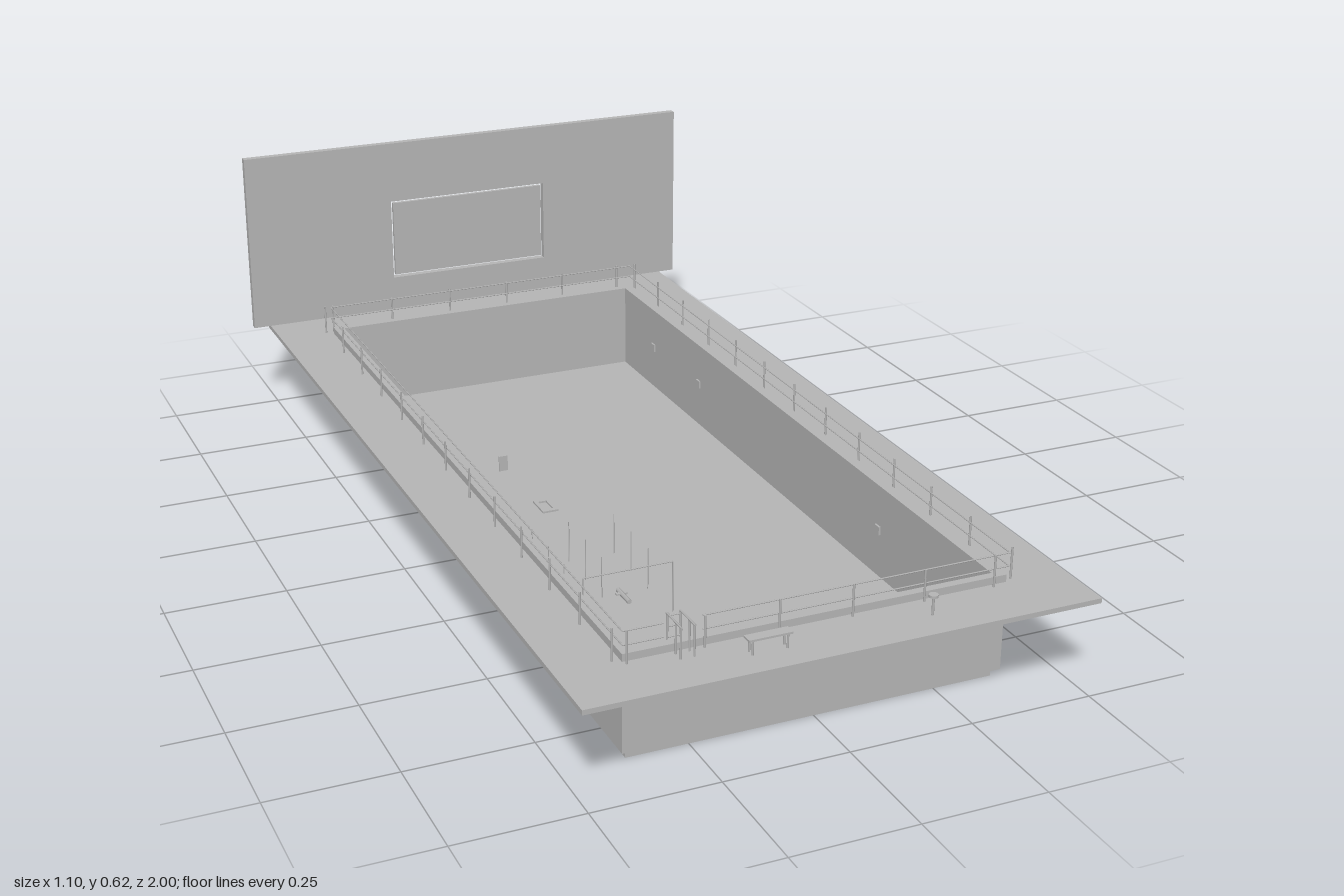
import * as THREE from 'three';

export function createModel() {
  const root = new THREE.Group();
  const grey = new THREE.MeshStandardMaterial({ color: 0xb4b4b4 });
  grey.name = 'concrete grey';

  const add = (parent, name, geo, x = 0, y = 0, z = 0) => {
    const m = new THREE.Mesh(geo, grey);
    m.name = name;
    m.position.set(x, y, z);
    parent.add(m);
    return m;
  };
  const box = (parent, name, x0, x1, y0, y1, z0, z1) =>
    add(parent, name, new THREE.BoxGeometry(x1 - x0, y1 - y0, z1 - z0),
      (x0 + x1) / 2, (y0 + y1) / 2, (z0 + z1) / 2);
  const group = (name) => {
    const g = new THREE.Group();
    g.name = name;
    root.add(g);
    return g;
  };
  // Thin round bar between two points
  const bar = (parent, name, a, b, r = 0.0014) => {
    const p = new THREE.Vector3(...a), q = new THREE.Vector3(...b);
    const d = q.clone().sub(p);
    const m = add(parent, name, new THREE.CylinderGeometry(r, r, d.length(), 6));
    m.position.copy(p).add(q).multiplyScalar(0.5);
    m.quaternion.setFromUnitVectors(new THREE.Vector3(0, 1, 0), d.normalize());
    return m;
  };
  // Rectangular plate with a rectangular hole, lying in the xy plane
  const rect = (C, x0, x1, y0, y1) => {
    const s = new C();
    s.moveTo(x0, y0); s.lineTo(x1, y0); s.lineTo(x1, y1); s.lineTo(x0, y1); s.closePath();
    return s;
  };
  const plate = (outer, hole, depth) => {
    const s = rect(THREE.Shape, ...outer);
    s.holes.push(rect(THREE.Path, ...hole));
    return new THREE.ExtrudeGeometry(s, { depth, bevelEnabled: false });
  };

  // Pool shell
  box(root, 'poolFloor', -0.373, 0.373, 0, 0.02, -0.861, 0.861);
  add(root, 'poolWalls', plate([-0.385, 0.385, -0.875, 0.875], [-0.363, 0.363, -0.858, 0.858], 0.196)
    .rotateX(-Math.PI / 2), 0, 0.02, 0);
  add(root, 'deck', plate([-0.51, 0.51, -1, 1], [-0.385, 0.385, -0.875, 0.875], 0.01)
    .rotateX(-Math.PI / 2), 0, 0.191, 0);
  // Floor rim that closes the step under the walls
  add(root, 'wallFooting', plate([-0.385, 0.385, -0.875, 0.875], [-0.37, 0.37, -0.858, 0.858], 0.002)
    .rotateX(-Math.PI / 2), 0, 0.0185, 0);

  // End wall with a window opening and a loose pane
  add(root, 'endWall', plate([-0.549, 0.549, 0.201, 0.618], [-0.197, 0.195, 0.281, 0.474], 0.017), 0, 0, -1);
  box(root, 'windowPane', -0.191, 0.189, 0.287, 0.468, -0.996, -0.987);

  // Railing
  const railing = group('railing');
  const post = (x, z) => bar(railing, 'railPost', [x, 0.2, z], [x, 0.266, z], 0.0022);
  for (let i = 0; i < 12; i++) for (const x of [-0.4, 0.4]) post(x, 0.72 - i * 0.146);
  for (const x of [-0.4, 0.4]) post(x, 0.866);
  for (let i = 0; i < 6; i++) {
    post(-0.38 + i * 0.1466, -0.89);
    if (i !== 1) post(-0.38 + i * 0.1466, 0.884);
  }
  for (const y of [0.236, 0.263]) {
    for (const x of [-0.386, 0.386]) bar(railing, 'sideRail', [x, y, -0.885], [x, y, 0.88]);
    bar(railing, 'backRail', [-0.386, y, -0.885], [0.386, y, -0.885]);
    bar(railing, 'frontRail', [-0.386, y, 0.88], [-0.31, y, 0.88]);
    bar(railing, 'frontRail', [-0.235, y, 0.88], [0.386, y, 0.88]);
  }

  // Entry ladder
  const ladder = group('ladder');
  for (const x of [-0.288, -0.262]) {
    bar(ladder, 'ladderSide', [x, 0.1, 0.848], [x, 0.262, 0.848], 0.002);
    bar(ladder, 'ladderHandle', [x, 0.262, 0.845], [x, 0.262, 0.908], 0.002);
    bar(ladder, 'ladderPost', [x, 0.2, 0.906], [x, 0.262, 0.906], 0.002);
    bar(ladder, 'ladderPost', [x, 0.2, 0.885], [x, 0.262, 0.885], 0.002);
  }
  for (let y = 0.11; y < 0.26; y += 0.021)
    bar(ladder, 'ladderRung', [-0.288, y, 0.848], [-0.262, y, 0.848]);
  bar(ladder, 'gatePost', [-0.232, 0.2, 0.884], [-0.232, 0.264, 0.884], 0.0022);

  // Bench and stool on the front deck
  const bench = group('bench');
  box(bench, 'benchSeat', -0.177, -0.092, 0.229, 0.233, 0.924, 0.946);
  for (const x of [-0.168, -0.1]) for (const z of [0.928, 0.942])
    bar(bench, 'benchLeg', [x, 0.2, z], [x, 0.23, z], 0.002);
  const stool = group('stool');
  add(stool, 'stoolSeat', new THREE.CylinderGeometry(0.009, 0.009, 0.005, 16), 0.194, 0.24, 0.935);
  bar(stool, 'stoolLeg', [0.194, 0.2, 0.935], [0.194, 0.24, 0.935], 0.0025);

  // Small fixtures along the pool walls
  const fixtures = group('wallFixtures');
  for (const z of [-0.68, -0.42, 0.44]) for (const s of [-1, 1])
    box(fixtures, 'wallFixture', s * 0.361 - 0.002, s * 0.361 + 0.002, 0.112, 0.13, z - 0.009, z + 0.009);

  // Training objects in the pool: poles, hoop frame and gate
  const props = group('trainingProps');
  for (const z of [0.14, 0.23, 0.315]) for (const x of [-0.27, -0.19, -0.09])
    bar(props, 'pole', [x, 0.02, z], [x, 0.11, z], 0.001);
  const hoop = plate([-0.017, 0.017, -0.03, 0.03], [-0.009, 0.009, -0.02, 0.02], 0.004);
  add(props, 'flatFrame', hoop.rotateX(-Math.PI / 2), -0.185, 0.082, -0.004);
  box(props, 'uprightPanel', -0.195, -0.175, 0.06, 0.095, -0.262, -0.259);
  for (const x of [-0.275, -0.085])
    bar(props, 'gatePole', [x, 0.02, 0.425], [x, 0.13, 0.425]);
  bar(props, 'gateBar', [-0.275, 0.13, 0.425], [-0.085, 0.13, 0.425]);
  bar(props, 'floatBody', [-0.185, 0.07, 0.385], [-0.185, 0.07, 0.443], 0.005);
  box(props, 'floatFins', -0.197, -0.173, 0.069, 0.072, 0.4, 0.408);

  return root;
}
